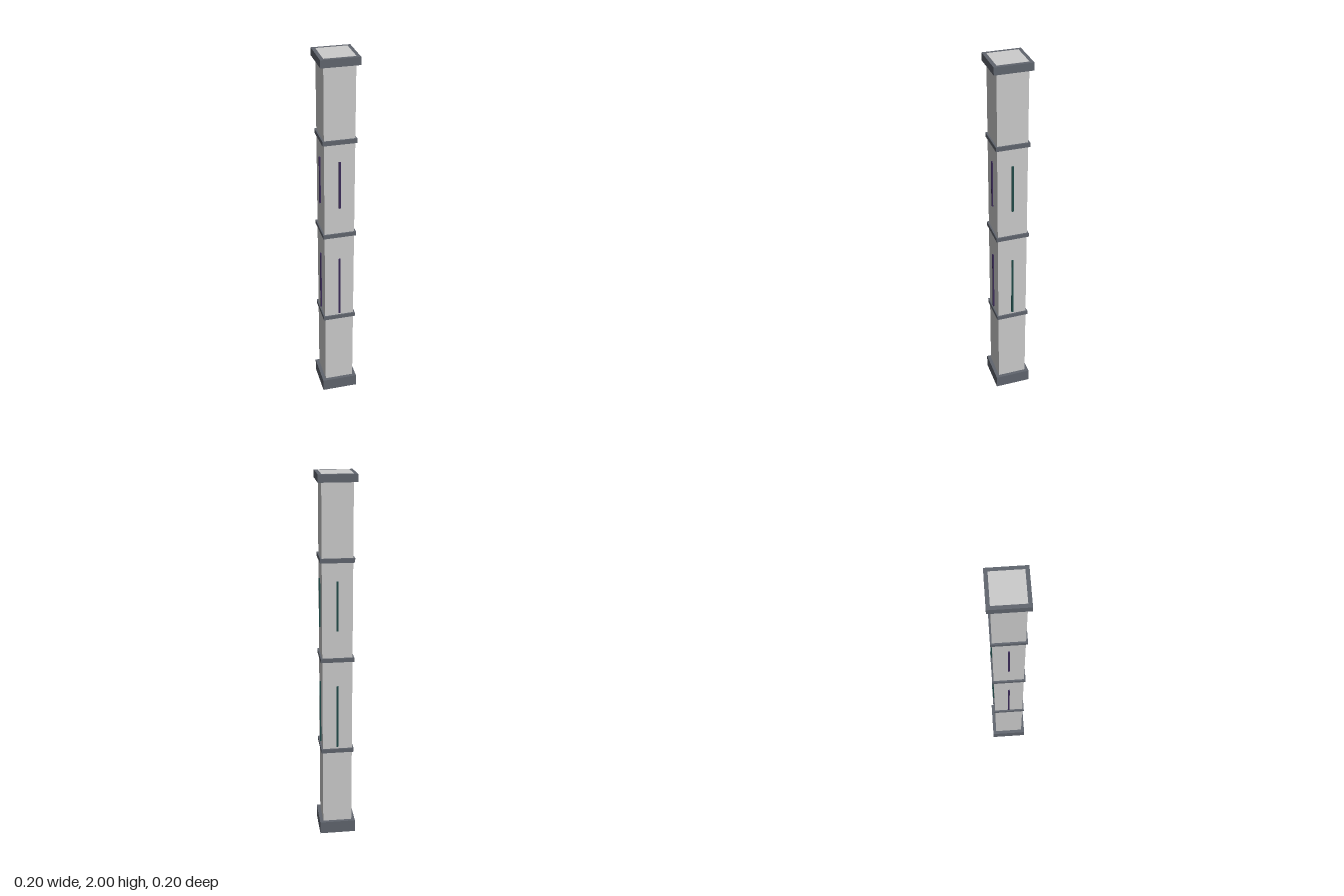
import * as THREE from 'three';

export function createModel() {
  const model = new THREE.Group();
  const grey = new THREE.MeshStandardMaterial({ color: 0xcccccc });
  const dark = new THREE.MeshStandardMaterial({ color: 0x60656e });
  const purple = new THREE.MeshStandardMaterial({ color: 0x3a2a58 });
  const teal = new THREE.MeshStandardMaterial({ color: 0x1f4a48 });

  // Square block centred on the axis, from y0 to y1
  function block(name, width, y0, y1, material) {
    const mesh = new THREE.Mesh(new THREE.BoxGeometry(width, y1 - y0, width), material);
    mesh.position.y = (y0 + y1) / 2;
    mesh.name = name;
    model.add(mesh);
  }

  // Shaft, with its top showing inside the cap rim
  block('shaft', 0.16, 0.01, 2, grey);
  block('base', 0.197, 0, 0.07, dark);
  block('cap', 0.197, 1.96, 1.999, dark);

  // Thin bands around the shaft
  [[0.5, 0.522], [1.028, 1.05], [1.56, 1.583]].forEach(([y0, y1], i) =>
    block(`band${i + 1}`, 0.177, y0, y1, dark));

  // Vertical strips on all four faces: front, left, back, right
  const faces = [['front', purple], ['left', teal], ['back', teal], ['right', purple]];
  faces.forEach(([side, material], i) => {
    const group = new THREE.Group();
    group.name = `${side}Strips`;
    group.rotation.y = (i * Math.PI) / 2;
    [['lowerStrip', 0.535, 0.89], ['upperStrip', 1.2, 1.463]].forEach(([name, y0, y1]) => {
      const strip = new THREE.Mesh(new THREE.BoxGeometry(0.01, y1 - y0, 0.012), material);
      strip.position.set(0, (y0 + y1) / 2, 0.081);
      strip.name = name;
      group.add(strip);
    });
    model.add(group);
  });

  return model;
}
